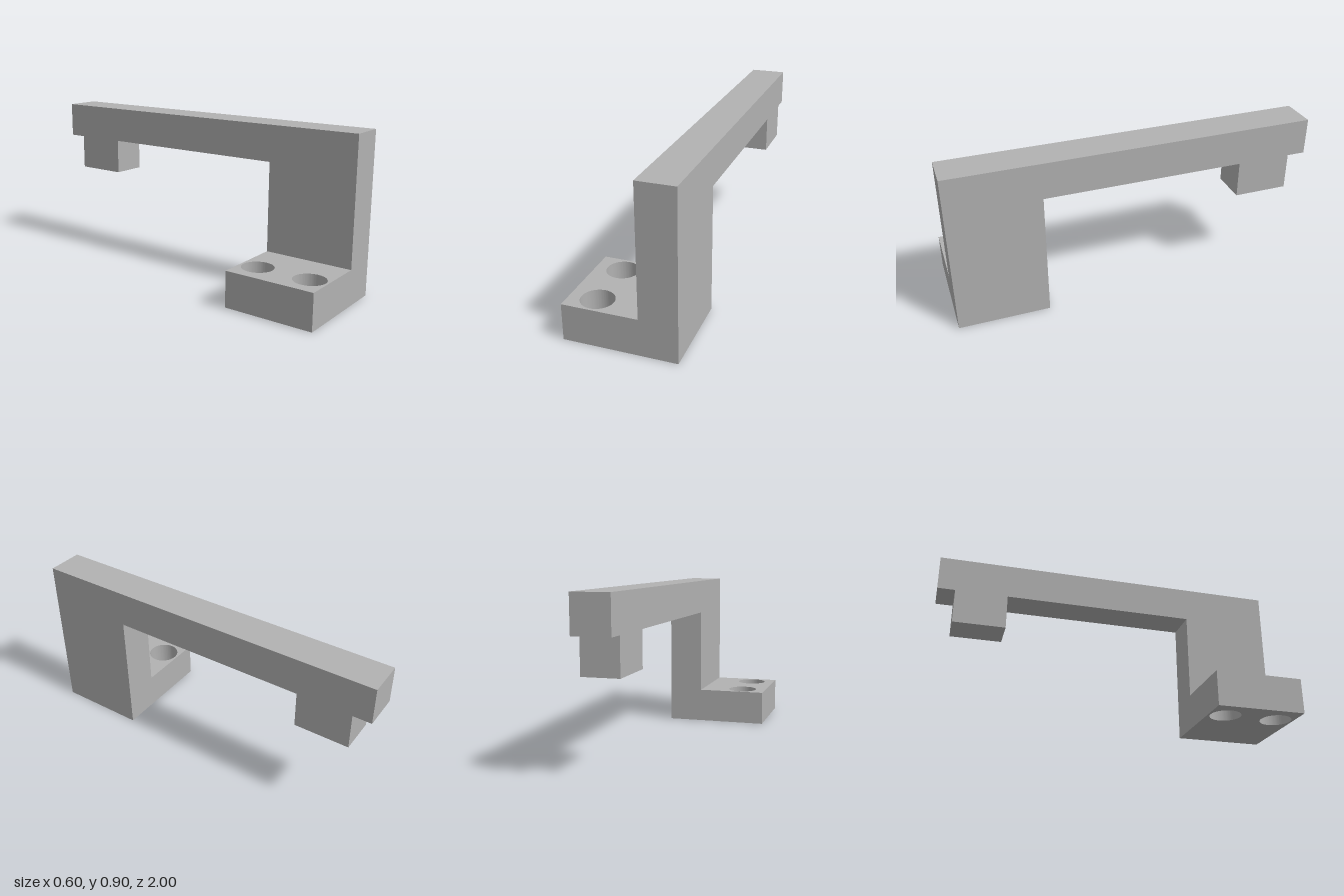
import * as THREE from 'three';
import { toCreasedNormals } from 'three/addons/utils/BufferGeometryUtils.js';

export function createModel() {
  const group = new THREE.Group();
  const grey = new THREE.MeshStandardMaterial({ color: 0xb2b2b2 });
  grey.name = 'grey';

  function addPart(name, geometry) {
    const mesh = new THREE.Mesh(geometry, grey);
    mesh.name = name;
    group.add(mesh);
  }

  // Upright, long arm and small stop under its end: one side profile given as (z, y)
  const profile = [
    [1, 0], [0.5, 0], [0.5, 0.7], [-0.6, 0.7], [-0.6, 0.5],
    [-0.9, 0.5], [-0.9, 0.7], [-1, 0.7], [-1, 0.9], [1, 0.9],
  ];
  const armShape = new THREE.Shape(profile.map(([z, y]) => new THREE.Vector2(-z, y)));
  const arm = new THREE.ExtrudeGeometry(armShape, { depth: 0.2, bevelEnabled: false });
  arm.rotateY(Math.PI / 2).translate(0.1, 0, 0);
  addPart('uprightAndArm', arm);

  // Mounting foot with two screw holes, drawn in plan as (x, -z)
  const footShape = new THREE.Shape([
    new THREE.Vector2(-0.3, -1), new THREE.Vector2(0.1, -1),
    new THREE.Vector2(0.1, -0.5), new THREE.Vector2(-0.3, -0.5),
  ]);
  for (const z of [0.6, 0.9]) {
    footShape.holes.push(new THREE.Path().absarc(-0.153, -z, 0.087, 0, Math.PI * 2, true));
  }
  const foot = new THREE.ExtrudeGeometry(footShape, { depth: 0.2, bevelEnabled: false, curveSegments: 48 });
  foot.rotateX(-Math.PI / 2);
  addPart('mountingFoot', toCreasedNormals(foot, Math.PI / 6));

  return group;
}
